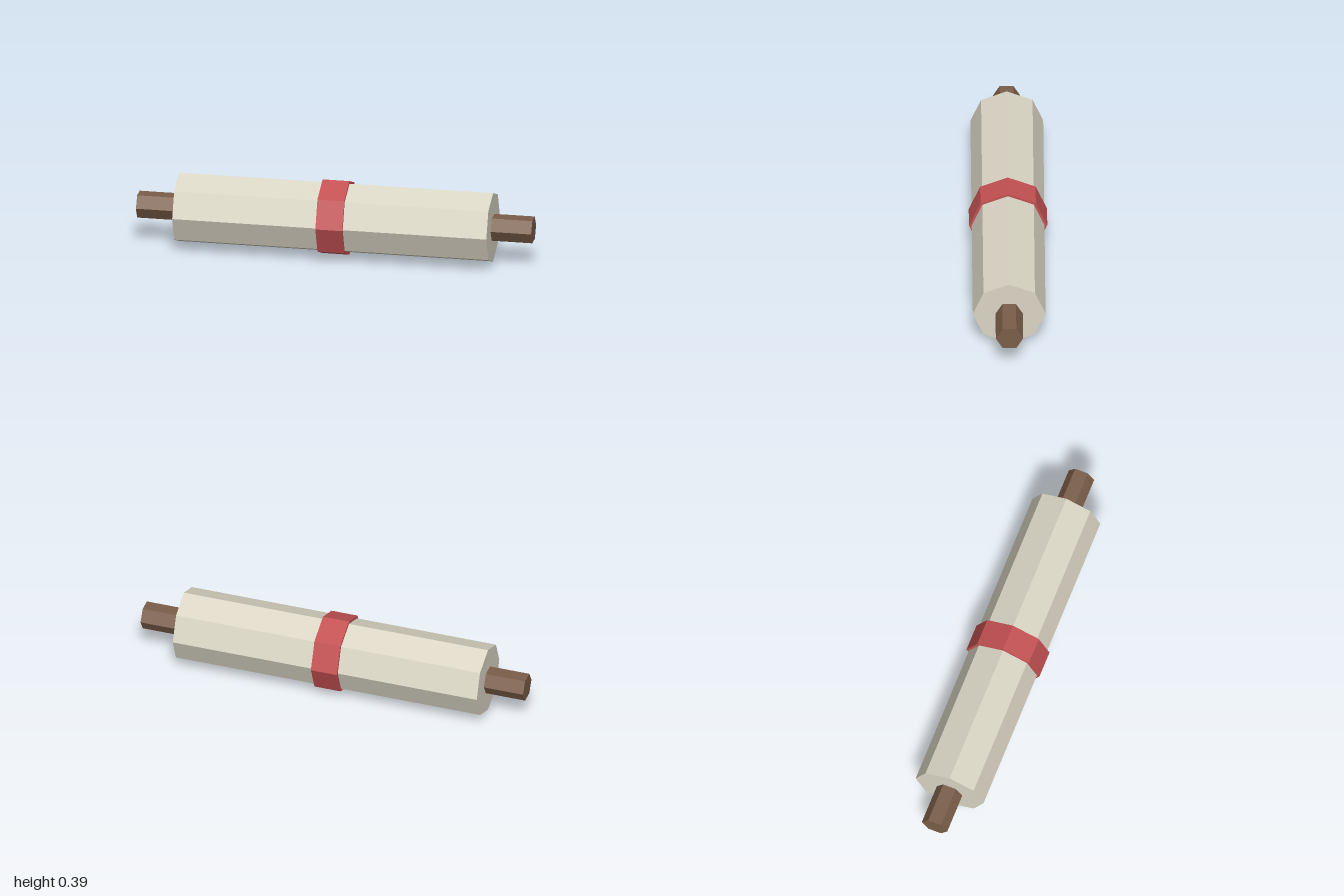
import * as THREE from 'three';

const material = (name, color) => {
  const m = new THREE.MeshStandardMaterial({ color, flatShading: true });
  m.name = name;
  return m;
};

export function createModel() {
  const group = new THREE.Group();
  group.name = 'scroll';
  const parchment = material('parchment', 0xdad5c4);
  const red = material('red', 0xc45153);
  const wood = material('wood', 0x7b5e4a);
  const centreY = 0.195;

  // Faceted cylinder lying along x
  const roll = (name, radius, length, sides, mat) => {
    const geometry = new THREE.CylinderGeometry(radius, radius, length, sides).rotateZ(Math.PI / 2);
    const mesh = new THREE.Mesh(geometry, mat);
    mesh.name = name;
    mesh.position.y = centreY;
    group.add(mesh);
  };

  roll('rolledPaper', 0.181, 1.59, 8, parchment);
  roll('ribbonBand', 0.195, 0.136, 8, red);
  roll('rod', 0.068, 2, 6, wood);

  return group;
}
